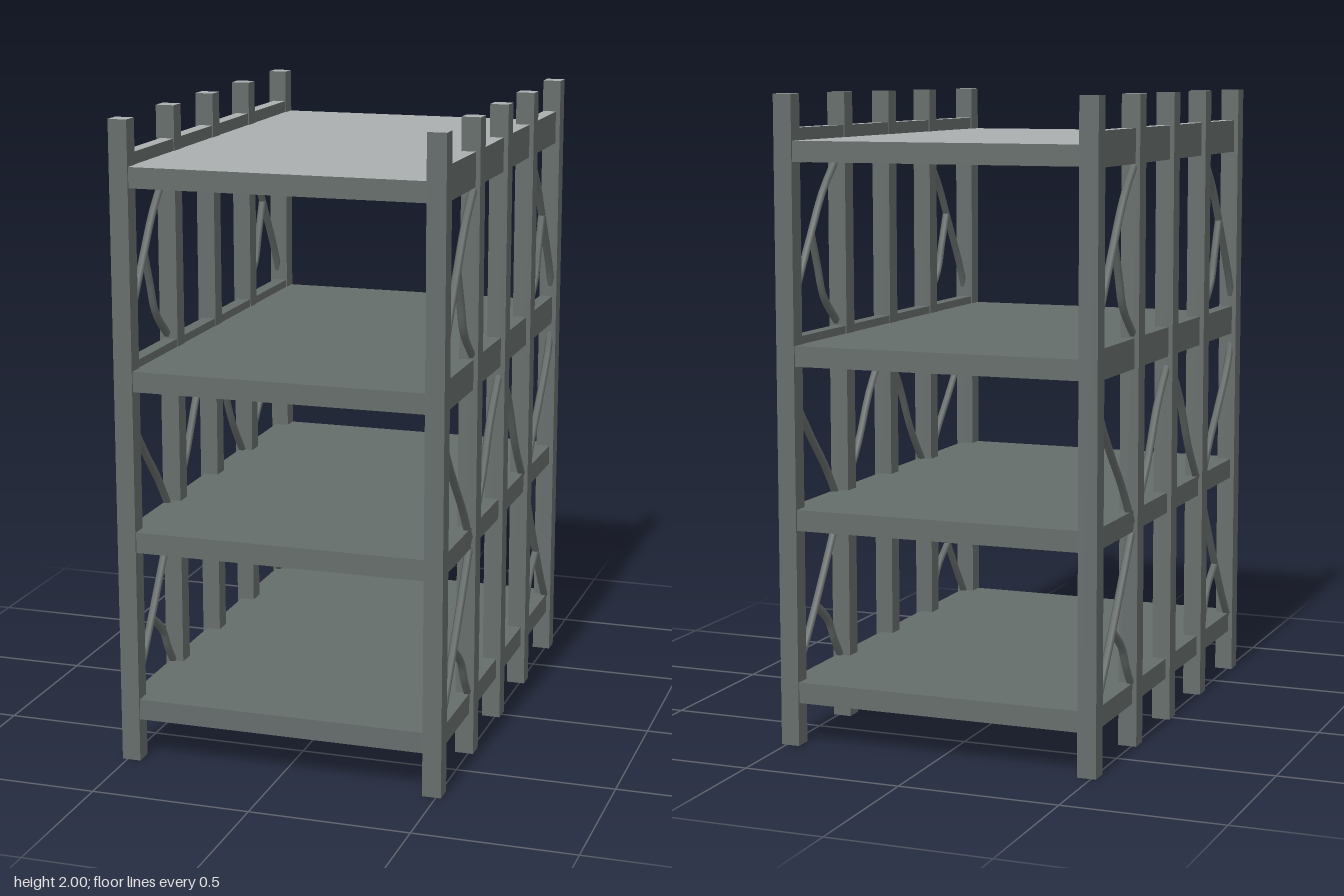
import * as THREE from 'three';

const darkSteel = new THREE.MeshStandardMaterial({ name: 'darkSteel', color: 0x656d6b });
const paleTop = new THREE.MeshStandardMaterial({ name: 'paleTop', color: 0xaaaeb0 });
// Box faces run +x, -x, +y, -y, +z, -z: only the upward face is pale
const capped = [darkSteel, darkSteel, paleTop, darkSteel, darkSteel, darkSteel];

// Box given by its lower and upper corners
function box(name, [x0, y0, z0], [x1, y1, z1], material = darkSteel) {
  const mesh = new THREE.Mesh(new THREE.BoxGeometry(x1 - x0, y1 - y0, z1 - z0), material);
  mesh.position.set((x0 + x1) / 2, (y0 + y1) / 2, (z0 + z1) / 2);
  mesh.name = name;
  return mesh;
}

// Bent rod in the side plane, through [z, y] points
function brace(points, side, end, radius = 0.013) {
  const path = new THREE.CatmullRomCurve3(points.map(([z, y]) => new THREE.Vector3(side * 0.494, y, end * z)));
  const mesh = new THREE.Mesh(new THREE.TubeGeometry(path, 12, radius, 6), darkSteel);
  mesh.name = 'brace';
  return mesh;
}

const bracePaths = [
  // top bay: long rod and its branch
  [[0.69, 1.29], [0.66, 1.36], [0.53, 1.57], [0.45, 1.69], [0.34, 1.8]],
  [[0.53, 1.57], [0.49, 1.47], [0.45, 1.37], [0.34, 1.27]],
  // middle bay
  [[0.69, 1.16], [0.66, 1.08], [0.55, 0.94], [0.45, 0.83], [0.34, 0.68]],
  // centre bay
  [[0.32, 0.72], [0.21, 0.86], [0.12, 1.02], [0.04, 1.12], [0, 1.16]],
  // bottom bay: long rod and its branch
  [[0.69, 0.18], [0.62, 0.27], [0.53, 0.4], [0.44, 0.54], [0.34, 0.7]],
  [[0.53, 0.4], [0.44, 0.33], [0.4, 0.26], [0.34, 0.18]],
];

export function createModel() {
  const model = new THREE.Group();
  model.name = 'shelvingRack';

  // Shelves
  for (const [y0, y1] of [[0.135, 0.2], [0.675, 0.74], [1.18, 1.243]]) {
    model.add(box('shelf', [-0.465, y0, -0.725], [0.465, y1, 0.725]));
  }

  // Top shelf: thin deck with a lip along the front and back
  model.add(box('topShelf', [-0.465, 1.825, -0.725], [0.465, 1.86, 0.725], capped));
  for (const [z0, z1] of [[-0.725, -0.695], [0.695, 0.725]]) {
    model.add(box('topShelfLip', [-0.465, 1.797, z0], [0.465, 1.825, z1]));
  }

  for (const side of [-1, 1]) {
    const across = (a, b) => (side > 0 ? [a, b] : [-b, -a]);

    // Posts
    const [px0, px1] = across(0.457, 0.516);
    for (const z of [-0.702, -0.332, 0, 0.332, 0.702]) {
      model.add(box('post', [px0, 0, z - 0.029], [px1, 2, z + 0.029], capped));
    }

    // Side rails under and beside the shelves
    const [rx0, rx1] = across(0.46, 0.502);
    for (const [y0, y1] of [[0.135, 0.2], [0.675, 0.74], [1.175, 1.268], [1.792, 1.898]]) {
      model.add(box('sideRail', [rx0, y0, -0.69], [rx1, y1, 0.69], y1 > 1.8 ? capped : darkSteel));
    }

    // Bent braces, mirrored front to back
    for (const end of [-1, 1]) {
      for (const points of bracePaths) model.add(brace(points, side, end));
    }
  }
  return model;
}
